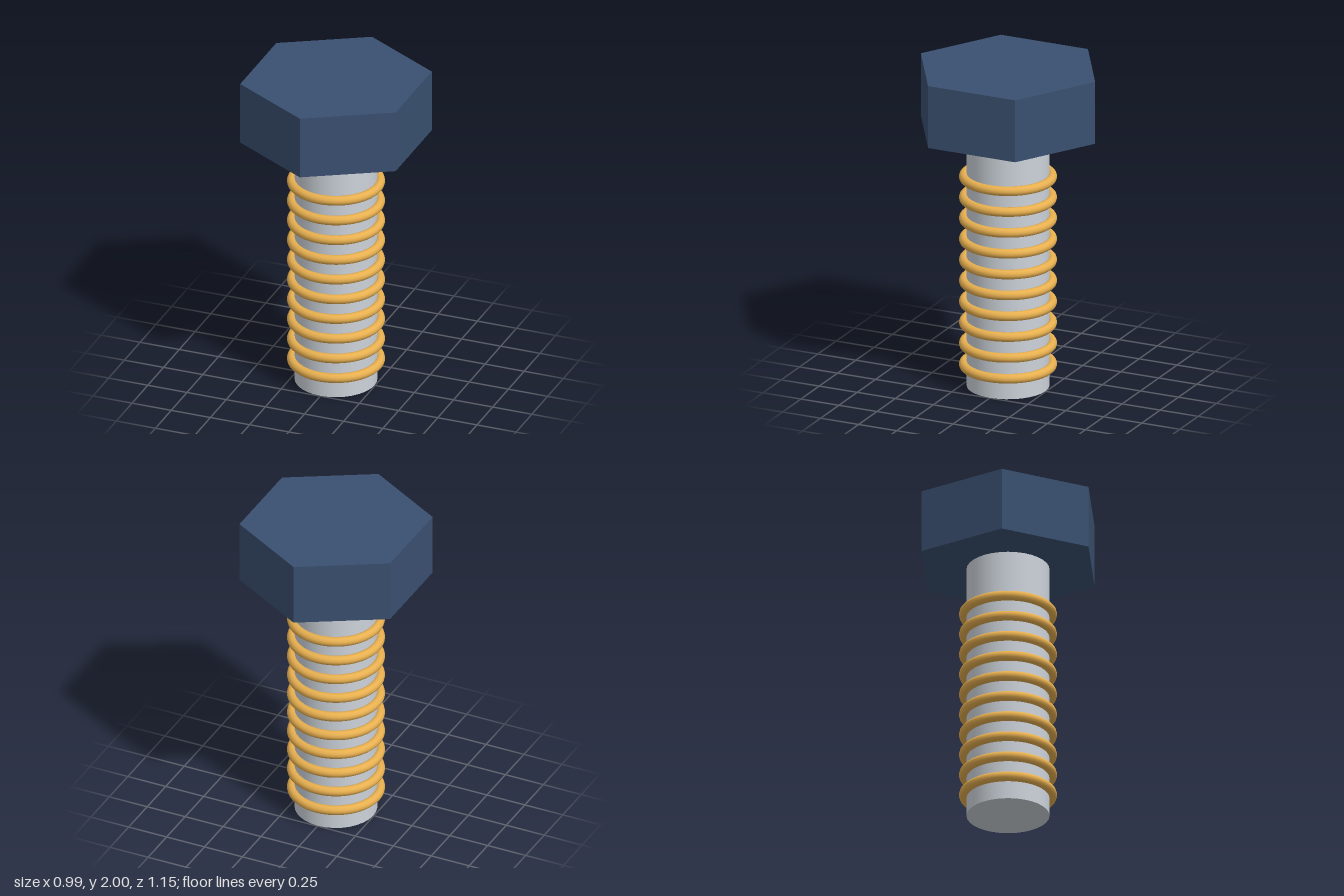
import * as THREE from 'three';

export function createModel() {
  const bolt = new THREE.Group();
  bolt.name = 'bolt';

  const add = (name, geometry, material, y) => {
    const mesh = new THREE.Mesh(geometry, material);
    mesh.name = name;
    mesh.position.y = y;
    bolt.add(mesh);
  };

  const headMaterial = new THREE.MeshStandardMaterial({ color: 0x3a5070, flatShading: true });
  const shaftMaterial = new THREE.MeshStandardMaterial({ color: 0xccd3da });
  const threadMaterial = new THREE.MeshStandardMaterial({ color: 0xe8b050 });

  // Hexagonal head, with corners at the front and back
  const headBase = 1.61, headHeight = 0.39;
  add('head', new THREE.CylinderGeometry(0.573, 0.573, headHeight, 6), headMaterial, headBase + headHeight / 2);

  // Round shaft reaching up to the head
  add('shaft', new THREE.CylinderGeometry(0.246, 0.246, headBase, 32), shaftMaterial, headBase / 2);

  // Evenly spaced thread rings, all sharing one geometry
  const ring = new THREE.TorusGeometry(0.262, 0.029, 12, 48).rotateX(Math.PI / 2);
  for (let i = 0; i < 10; i++) {
    add(`threadRing${i + 1}`, ring, threadMaterial, 0.135 + i * 0.1312);
  }

  return bolt;
}
